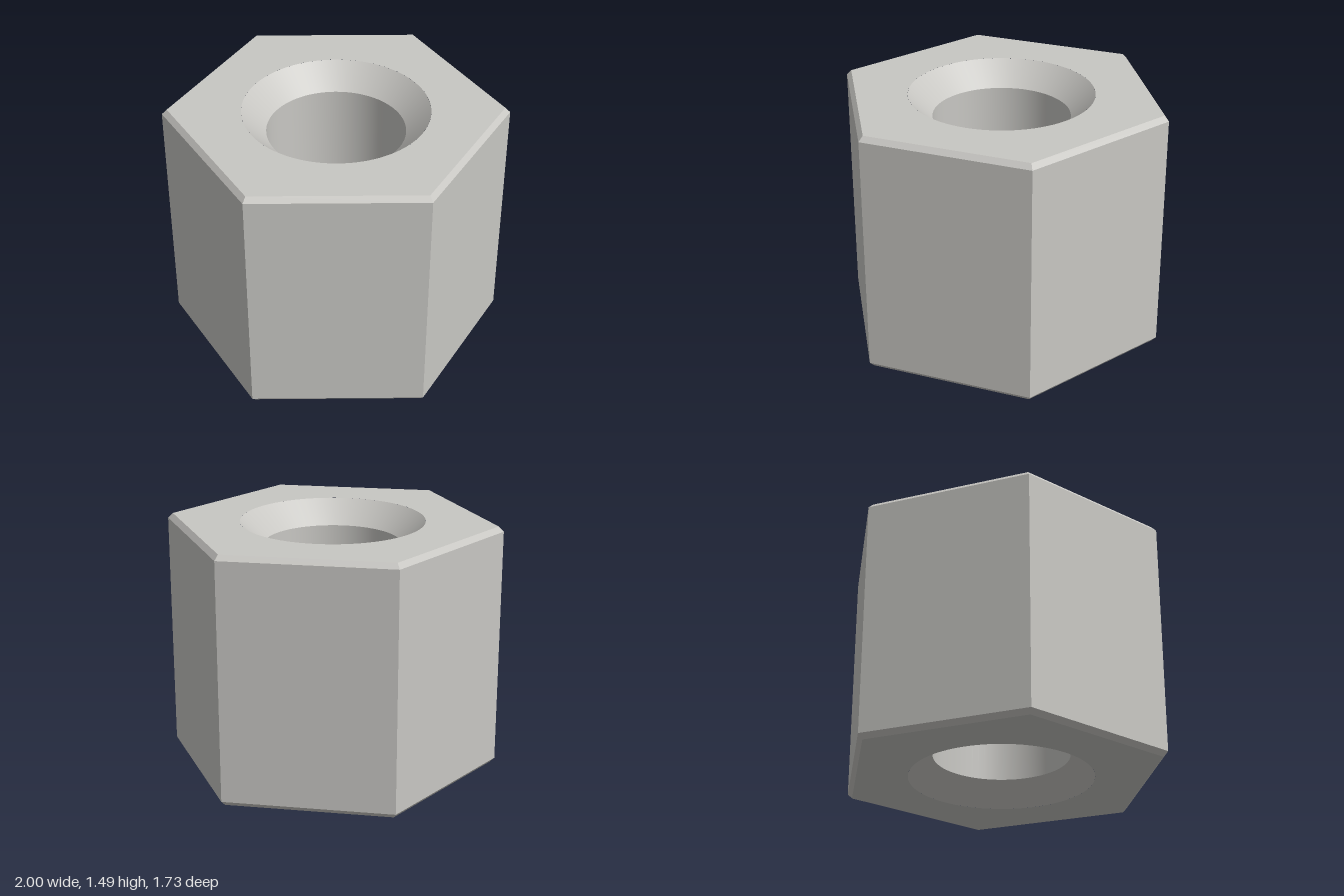
import * as THREE from 'three';
import { toCreasedNormals } from 'three/addons/utils/BufferGeometryUtils.js';

const HEIGHT = 1.485, CHAMFER = 0.03;
const BORE = 0.405, SINK = 0.545, SINK_DEPTH = 0.14;
const SEGMENTS = 64;

// Turned surface with sharp edges kept where the profile bends
function turned(points, sides) {
  const profile = points.map(([r, y]) => new THREE.Vector2(r, y));
  const geometry = new THREE.LatheGeometry(profile, sides, Math.PI / 2);
  return toCreasedNormals(geometry, 0.4);
}

// Flat hexagonal face with a round opening
function endFace(radius) {
  const corners = Array.from({ length: 6 }, (_, i) => {
    const a = (i * Math.PI) / 3;
    return new THREE.Vector2(radius * Math.cos(a), radius * Math.sin(a));
  });
  const shape = new THREE.Shape(corners);
  shape.holes.push(new THREE.Path().absarc(0, 0, SINK, 0, Math.PI * 2, true));
  return new THREE.ShapeGeometry(shape, SEGMENTS);
}

export function createModel() {
  const model = new THREE.Group();
  model.name = 'hexNut';
  const steel = new THREE.MeshStandardMaterial({ color: 0xc8c7c3 });
  steel.name = 'lightGreySteel';

  const add = (name, geometry) => {
    const mesh = new THREE.Mesh(geometry, steel);
    mesh.name = name;
    model.add(mesh);
  };

  // Six flats with chamfered upper and lower edges
  add('hexagonalSides', turned([
    [1 - CHAMFER, 0],
    [1, CHAMFER],
    [1, HEIGHT - CHAMFER],
    [1 - CHAMFER, HEIGHT],
  ], 6));

  // Through bore with a countersink at each end, facing inwards
  add('countersunkBore', turned([
    [SINK, HEIGHT],
    [BORE, HEIGHT - SINK_DEPTH],
    [BORE, SINK_DEPTH],
    [SINK, 0],
  ], SEGMENTS));

  // End faces
  add('topFace', endFace(1 - CHAMFER).rotateX(-Math.PI / 2).translate(0, HEIGHT, 0));
  add('bottomFace', endFace(1 - CHAMFER).rotateX(Math.PI / 2));

  return model;
}
